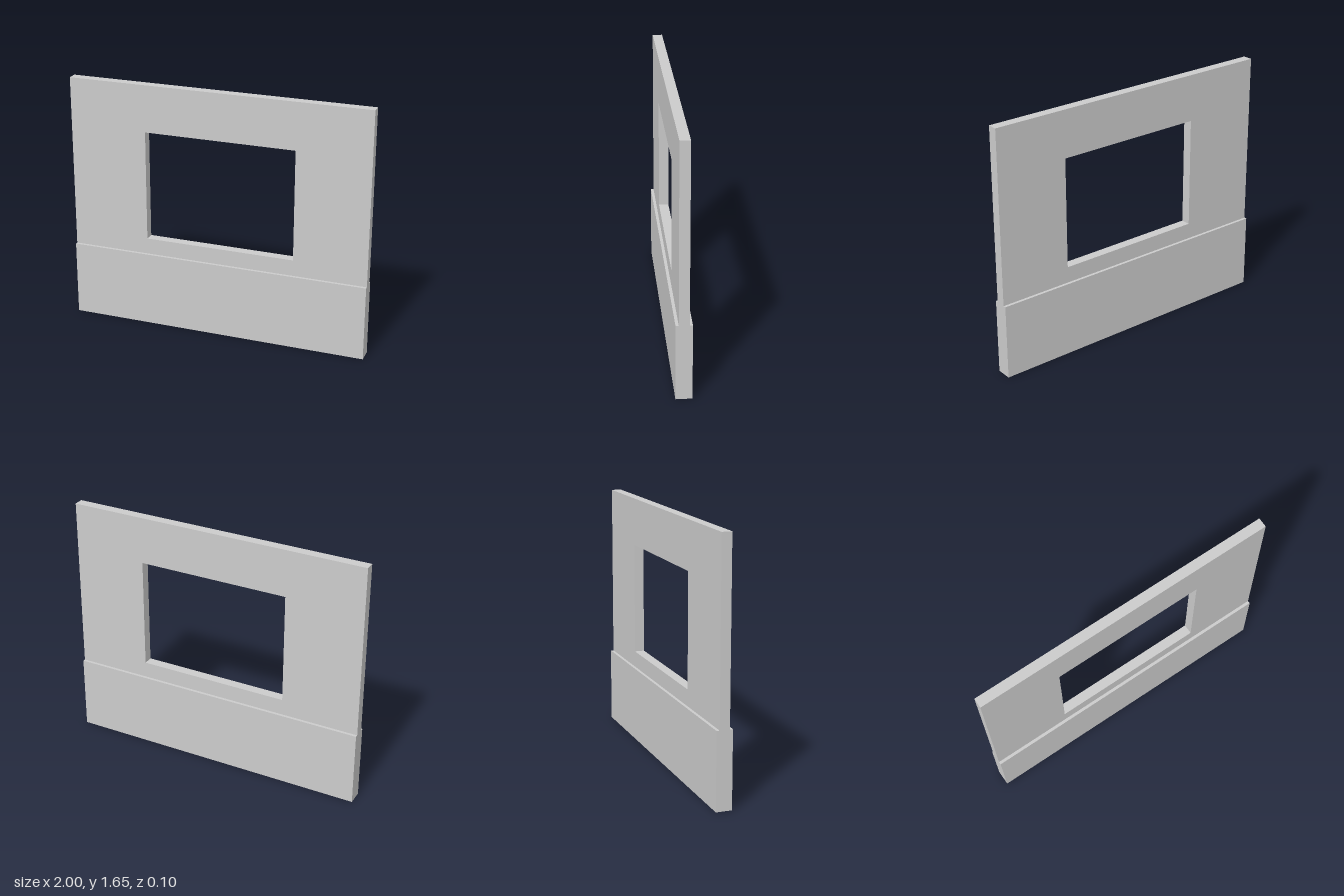
import * as THREE from 'three';

const WIDTH = 2, HEIGHT = 1.647;
const BASE_HEIGHT = 0.497, BASE_DEPTH = 0.102, WALL_DEPTH = 0.064;
const WINDOW = { left: -0.484, right: 0.516, bottom: 0.604, top: 1.336 };

// Traces a closed rectangle onto a Shape or Path.
function rectangle(path, x0, y0, x1, y1) {
  path.moveTo(x0, y0);
  path.lineTo(x1, y0);
  path.lineTo(x1, y1);
  path.lineTo(x0, y1);
  path.closePath();
  return path;
}

export function createModel() {
  const group = new THREE.Group();
  group.name = 'windowWall';
  const material = new THREE.MeshStandardMaterial({ color: 0xcccccc });

  // Thin upper wall with a window opening slightly off centre
  const outline = rectangle(new THREE.Shape(), -WIDTH / 2, BASE_HEIGHT, WIDTH / 2, HEIGHT);
  outline.holes.push(
    rectangle(new THREE.Path(), WINDOW.left, WINDOW.bottom, WINDOW.right, WINDOW.top)
  );
  const wallGeometry = new THREE.ExtrudeGeometry(outline, { depth: WALL_DEPTH, bevelEnabled: false });
  wallGeometry.translate(0, 0, -WALL_DEPTH / 2);
  const wall = new THREE.Mesh(wallGeometry, material);
  wall.name = 'upperWall';
  group.add(wall);

  // Thicker base, standing proud on both faces
  const base = new THREE.Mesh(new THREE.BoxGeometry(WIDTH, BASE_HEIGHT, BASE_DEPTH), material);
  base.name = 'wallBase';
  base.position.y = BASE_HEIGHT / 2;
  group.add(base);

  return group;
}
